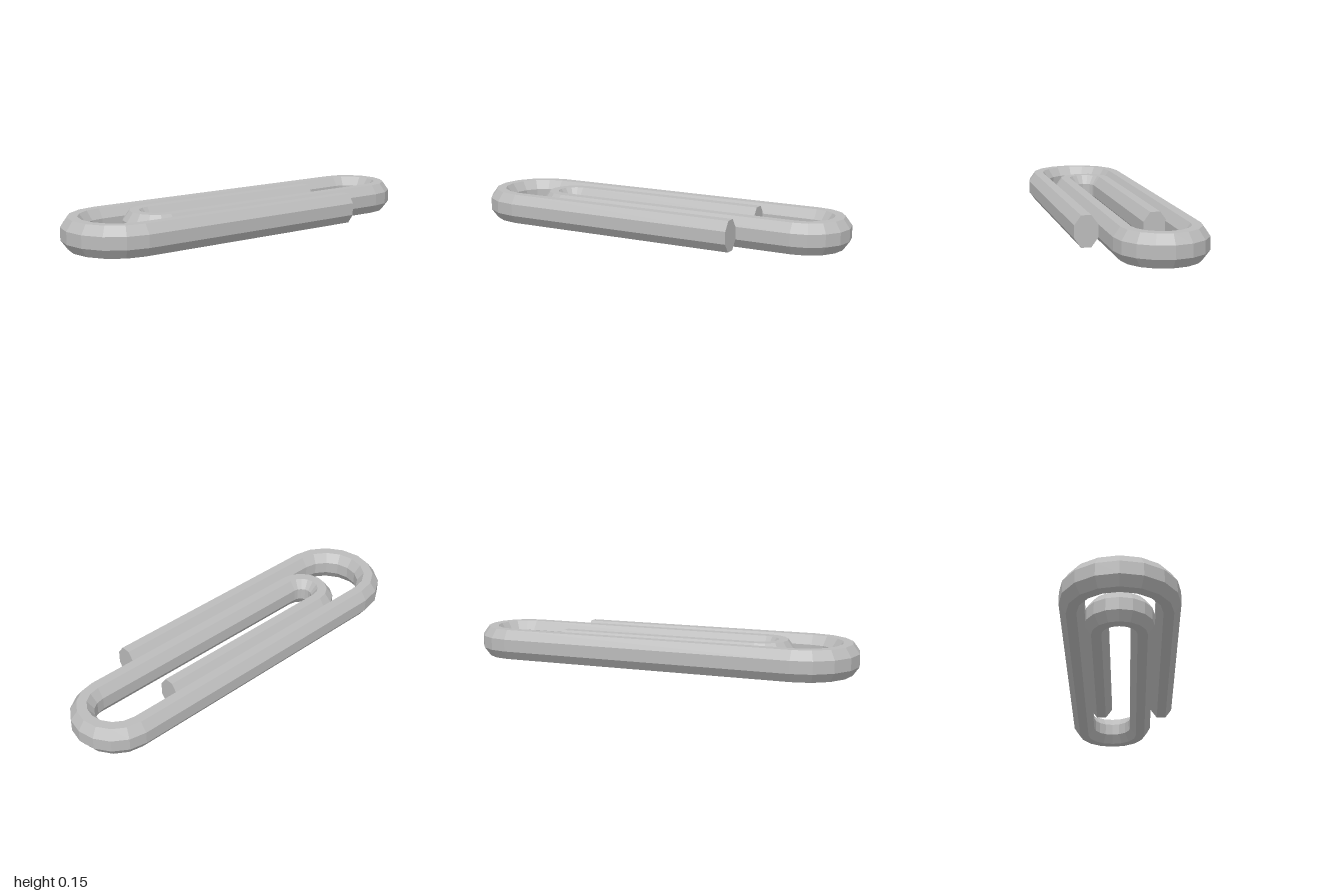
import * as THREE from 'three';

const HEIGHT = 0.153;

// Wire cross-section: tall octagon, u = outward from the loop, v = up
const PROFILE = [
  [0.057, -0.031], [0.057, 0.031], [0.024, 0.0765], [-0.024, 0.0765],
  [-0.057, 0.031], [-0.057, -0.031], [-0.024, -0.0765], [0.024, -0.0765],
];

// Half-circle bends joined by straight runs: centre x, centre z, radius, start angle
const BENDS = [
  [-0.725, 0, 0.218, Math.PI / 2],
  [0.782, -0.057, 0.161, -Math.PI / 2],
  [-0.515, -0.004, 0.108, Math.PI / 2],
];
const BEND_STEPS = 8;
const END_X = 0.508;

// Stations along the wire: position and outward angle
function wireStations() {
  const stations = [{ x: END_X, z: 0.218, a: Math.PI / 2 }];
  for (const [cx, cz, r, start] of BENDS) {
    for (let i = 0; i <= BEND_STEPS; i++) {
      const a = start + (i / BEND_STEPS) * Math.PI;
      stations.push({ x: cx + r * Math.cos(a), z: cz + r * Math.sin(a), a });
    }
  }
  stations.push({ x: END_X, z: -0.112, a: -Math.PI / 2 });
  return stations;
}

// Sweep the profile along the stations and close both cut ends
function wireGeometry() {
  const stations = wireStations();
  const n = PROFILE.length;
  const positions = [];
  const indices = [];
  for (const { x, z, a } of stations) {
    for (const [u, v] of PROFILE) {
      positions.push(x + u * Math.cos(a), HEIGHT / 2 + v, z + u * Math.sin(a));
    }
  }
  for (let i = 0; i < stations.length - 1; i++) {
    for (let j = 0; j < n; j++) {
      const a = i * n + j;
      const b = i * n + (j + 1) % n;
      indices.push(a, b, b + n, a, b + n, a + n);
    }
  }
  const last = (stations.length - 1) * n;
  for (let j = 1; j < n - 1; j++) {
    indices.push(0, j + 1, j);
    indices.push(last, last + j, last + j + 1);
  }
  const indexed = new THREE.BufferGeometry();
  indexed.setAttribute('position', new THREE.Float32BufferAttribute(positions, 3));
  indexed.setIndex(indices);
  // Separate faces give the faceted low-poly look
  const geometry = indexed.toNonIndexed();
  geometry.computeVertexNormals();
  return geometry;
}

export function createModel() {
  const group = new THREE.Group();
  group.name = 'paperClip';
  const steel = new THREE.MeshStandardMaterial({ color: 0xbcbcbc });
  steel.name = 'steel grey';
  const wire = new THREE.Mesh(wireGeometry(), steel);
  wire.name = 'bentWire';
  group.add(wire);
  return group;
}
